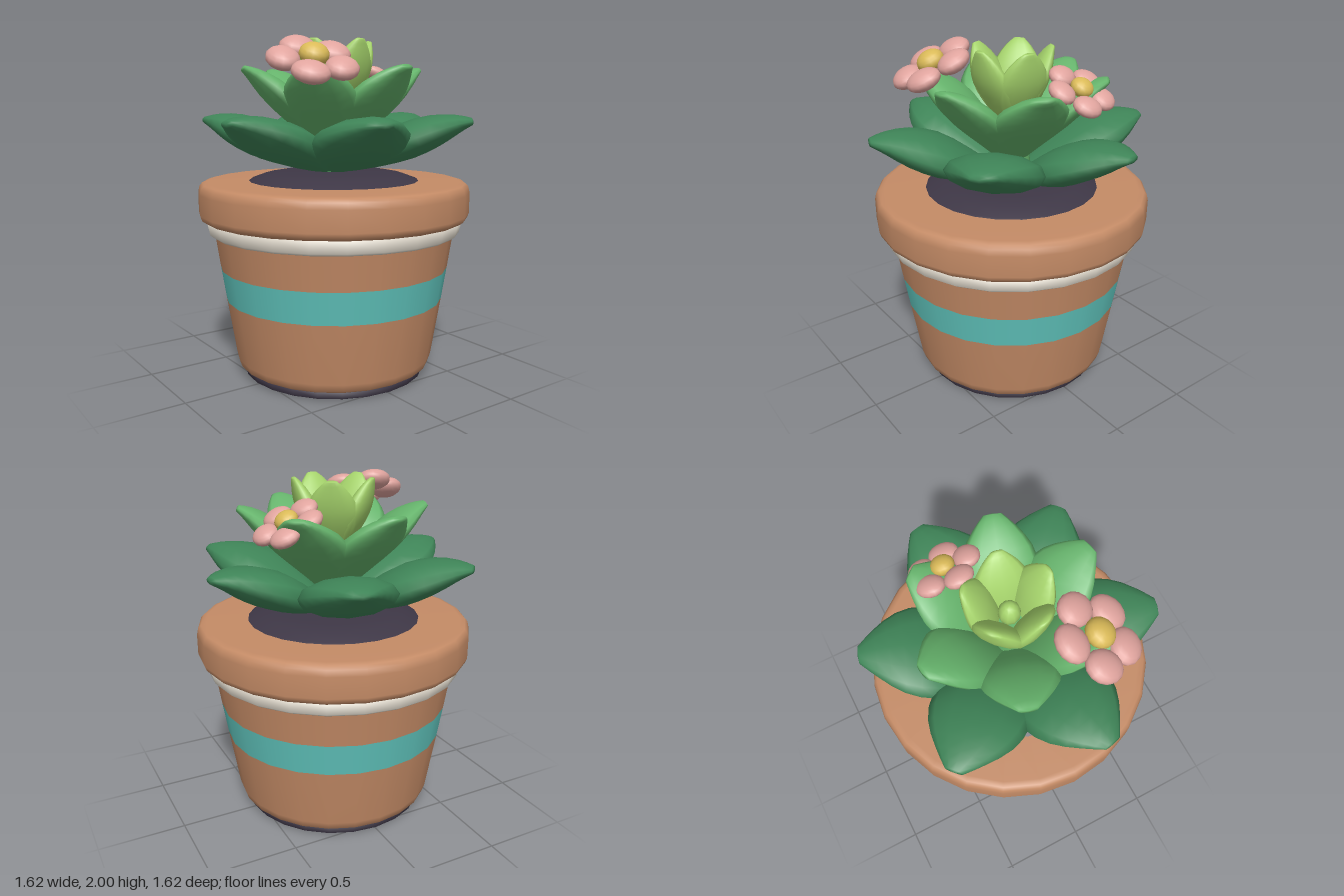
import * as THREE from 'three';

const mat = (name, color) => {
  const m = new THREE.MeshStandardMaterial({ color });
  m.name = name;
  return m;
};

export function createModel() {
  const root = new THREE.Group();
  const terracotta = mat('terracotta', 0xc48b66);
  const teal = mat('teal', 0x60c4bc);
  const cream = mat('cream', 0xded7ca);
  const dark = mat('dark soil', 0x3e3746);
  const deepGreen = mat('deep green', 0x3f8558);
  const midGreen = mat('mid green', 0x66b46c);
  const lime = mat('lime', 0xa6d46c);
  const pink = mat('pink', 0xe0a49e);
  const yellow = mat('yellow', 0xdaba58);

  const add = (name, geo, material, parent = root) => {
    const mesh = new THREE.Mesh(geo, material);
    mesh.name = name;
    parent.add(mesh);
    return mesh;
  };
  const lathe = (name, pts, material) =>
    add(name, new THREE.LatheGeometry(pts.map(p => new THREE.Vector2(...p)), 24), material);

  // Pot, each profile running bottom to top
  lathe('base', [[0, 0], [0.53, 0], [0.55, 0.01], [0.55, 0.045], [0.53, 0.06]], dark);
  lathe('potLower', [[0, 0.05], [0.56, 0.05], [0.585, 0.065], [0.6, 0.11], [0.658, 0.465]], terracotta);
  lathe('potStripe', [[0.658, 0.465], [0.688, 0.655]], teal);
  lathe('potUpper', [[0.688, 0.655], [0.725, 0.9]], terracotta);
  lathe('creamBand', [[0.7, 0.86], [0.735, 0.86], [0.755, 0.875], [0.772, 0.95], [0.7, 0.955]], cream);
  lathe('rim', [[0.7, 0.948], [0.78, 0.948], [0.8, 0.962], [0.81, 0.99], [0.81, 1.11],
    [0.802, 1.145], [0.785, 1.163], [0.755, 1.172], [0.48, 1.172]], terracotta);
  lathe('soil', [[0.52, 1.165], [0.5, 1.178], [0.42, 1.207], [0.32, 1.225], [0, 1.23]], dark);

  // Fleshy leaf: oval sections along stations of [reach, height, half width]
  const leafGeometry = (stations, ratio) => {
    const curve = new THREE.CatmullRomCurve3(stations.map(s => new THREE.Vector3(...s)));
    const rings = 10, sides = 12, pos = [], idx = [];
    for (let i = 0; i <= rings; i++) {
      const p = curve.getPoint(i / rings), t = curve.getTangent(i / rings);
      const len = Math.hypot(t.x, t.y), nx = -t.y / len, ny = t.x / len;
      for (let j = 0; j < sides; j++) {
        const a = (j / sides) * Math.PI * 2, h = p.z * ratio * Math.sin(a);
        pos.push(p.x + nx * h, p.y + ny * h, p.z * Math.cos(a));
        if (i === rings) continue;
        const k = i * sides + j, l = i * sides + (j + 1) % sides;
        idx.push(k, k + sides, l, l, k + sides, l + sides);
      }
    }
    // Blunt tip
    const end = stations[stations.length - 1];
    pos.push(end[0] + 0.006, end[1], 0);
    const c = (rings + 1) * sides;
    for (let j = 0; j < sides; j++) {
      idx.push(c, rings * sides + (j + 1) % sides, rings * sides + j);
    }
    const g = new THREE.BufferGeometry();
    g.setAttribute('position', new THREE.Float32BufferAttribute(pos, 3));
    g.setIndex(idx);
    g.computeVertexNormals();
    return g;
  };

  const rosette = (name, count, offset, stations, ratio, material) => {
    const group = new THREE.Group();
    group.name = name;
    root.add(group);
    const geo = leafGeometry(stations, ratio);
    for (let i = 0; i < count; i++) {
      const leaf = add('leaf', geo, material, group);
      leaf.rotation.y = -THREE.MathUtils.degToRad(offset + (i * 360) / count);
    }
  };

  // Three tiers of leaves
  rosette('outerLeaves', 6, -12.5, [[0.08, 1.25, 0.08], [0.26, 1.33, 0.2], [0.44, 1.41, 0.275],
    [0.6, 1.47, 0.235], [0.73, 1.51, 0.135], [0.815, 1.525, 0.05]], 0.4, deepGreen);
  rosette('middleLeaves', 6, 18, [[0.06, 1.36, 0.07], [0.17, 1.5, 0.16], [0.29, 1.63, 0.212],
    [0.39, 1.72, 0.19], [0.48, 1.79, 0.115], [0.54, 1.825, 0.05]], 0.36, midGreen);
  rosette('innerLeaves', 5, 12, [[0.05, 1.58, 0.06], [0.1, 1.7, 0.125], [0.145, 1.8, 0.148],
    [0.18, 1.88, 0.125], [0.21, 1.95, 0.075], [0.23, 1.988, 0.032]], 0.4, lime);
  add('stem', new THREE.CylinderGeometry(0.08, 0.12, 0.5, 12), midGreen).position.y = 1.45;
  const bud = add('bud', new THREE.SphereGeometry(0.06, 10, 8), lime);
  bud.position.y = 1.76;
  bud.scale.y = 1.4;

  // Flowers: five oval petals round a button, tilted along a normal
  const flower = (name, centre, normal, size, start) => {
    const group = new THREE.Group();
    group.name = name;
    group.position.set(...centre);
    group.quaternion.setFromUnitVectors(new THREE.Vector3(0, 1, 0), new THREE.Vector3(...normal).normalize());
    group.scale.setScalar(size);
    root.add(group);
    const ball = new THREE.SphereGeometry(1, 14, 10);
    for (let i = 0; i < 5; i++) {
      const a = start + (i * Math.PI * 2) / 5;
      const petal = add('petal', ball, pink, group);
      petal.position.set(Math.cos(a) * 0.165, 0, Math.sin(a) * 0.165);
      petal.rotation.y = -a;
      petal.scale.set(0.093, 0.056, 0.106);
    }
    const button = add('flowerCentre', ball, yellow, group);
    button.position.y = 0.03;
    button.scale.set(0.083, 0.06, 0.083);
  };
  flower('frontFlower', [-0.345, 1.86, 0.3], [-0.14, 1, 0.5], 1, -Math.PI / 2);
  flower('backFlower', [0.365, 1.785, -0.19], [0.55, 1, -0.12], 0.8, Math.PI / 2);

  return root;
}
